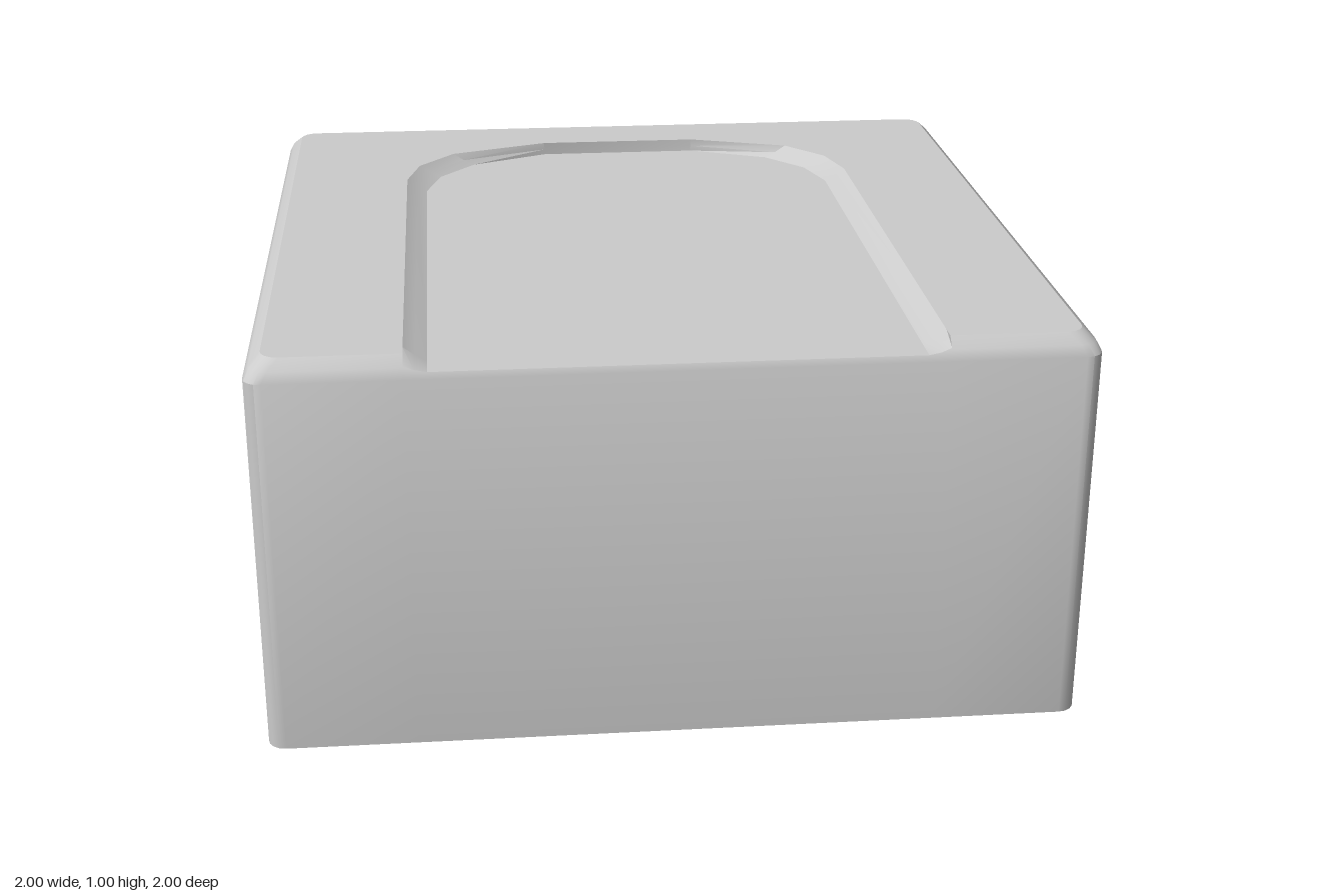
import * as THREE from 'three';
import { toCreasedNormals } from 'three/addons/utils/BufferGeometryUtils.js';

const FLOOR = 0.965;              // height of the recessed floor
const LEVELS = [0, 0.95, 0.975, 1]; // heights of the body's cross-sections
const RADIUS = 0.045;

// How far the outline is drawn in at height y (eased top edge)
function inset(y) {
  if (y <= 0.95) return 0;
  if (y <= 0.975) return (y - 0.95) / 0.025 * 0.013;
  return 0.013 + (y - 0.975) / 0.025 * 0.027;
}

// Surface through rows of points; it faces along (row step) x (column step)
function gridGeometry(rows, crease) {
  const pos = [];
  const tri = (a, b, c) => {
    const u = b.clone().sub(a), v = c.clone().sub(a);
    if (u.cross(v).length() > 1e-9) for (const p of [a, b, c]) pos.push(p.x, p.y, p.z);
  };
  for (let i = 0; i < rows.length - 1; i++) {
    for (let j = 0; j < rows[i].length - 1; j++) {
      const a = rows[i][j], b = rows[i + 1][j], c = rows[i + 1][j + 1], d = rows[i][j + 1];
      tri(a, b, c);
      tri(a, c, d);
    }
  }
  const g = new THREE.BufferGeometry();
  g.setAttribute('position', new THREE.Float32BufferAttribute(pos, 3));
  return toCreasedNormals(g, crease);
}

// Flat horizontal face through points, facing up or down
function flatFace(points, y, up = true) {
  const s = up ? -1 : 1;
  const g = new THREE.ShapeGeometry(new THREE.Shape(points.map(p => new THREE.Vector2(p.x, s * p.z))));
  return g.rotateX(s * Math.PI / 2).translate(0, y, 0);
}

// Continue a right-hand path with its mirror image in reverse
const mirrored = (list, flip) => [...list, ...list.slice().reverse().map(flip)];
const flipPoint = p => new THREE.Vector3(-p.x, p.y, p.z);
const flipRow = row => row.map(flipPoint);

export function createModel() {
  const group = new THREE.Group();
  const material = new THREE.MeshStandardMaterial({ color: 0xcccccc });
  const add = (name, geometry) => {
    const mesh = new THREE.Mesh(geometry, material);
    mesh.name = name;
    group.add(mesh);
  };
  const V = (x, y, z) => new THREE.Vector3(x, y, z);

  // Front opening: cross-section of the recess wall, from rim to floor
  const opening = [[0.635, 1], [0.635, 0.978], [0.61, 0.97], [0.58, FLOOR]]
    .map(([x, y]) => V(x, y, 1 - inset(y)));

  // One vertical strip of the body, stopping at height limit
  const column = (x, z, nx, nz, limit = 1) => LEVELS.map(level => {
    const y = Math.min(level, limit), d = inset(y);
    return V(x - nx * d, y, z - nz * d);
  });

  // Right half of the body's outline, from floor edge round to the back
  const right = opening.slice().reverse().map(p => column(p.x, 1, 0, 1, p.y));
  const steps = 4;
  for (const [sz, start] of [[1, Math.PI / 2], [-1, 0]]) {
    for (let k = 0; k <= steps; k++) {
      const a = start - k / steps * Math.PI / 2;
      const c = Math.cos(a), s = Math.sin(a), m = 1 - RADIUS;
      // Draw each side in by the same amount so the corner keeps its radius
      right.push(LEVELS.map(y => {
        const d = inset(y);
        return V((m - d) + RADIUS * c, y, sz * (m - d) + RADIUS * s);
      }));
    }
  }
  const outline = mirrored(right, flipRow);
  add('bodySides', gridGeometry([...outline, outline[0]], 0.6));
  add('bodyBottom', flatFace(outline.filter((r, i) => i !== 2 && i !== outline.length - 3).map(r => r[0]), 0, false));

  // Arch of the recess: z, half width at the rim, half width at the floor
  const arch = [
    [0.92, 0.635, 0.58], [-0.43, 0.635, 0.58], [-0.57, 0.6, 0.54],
    [-0.69, 0.5, 0.44], [-0.785, 0.225, 0.222],
  ];
  const wallRight = [opening, ...arch.map(([z, rim, floor]) =>
    [V(rim, 1, z), V(rim, 1, z), V((rim + floor) / 2, 0.98, z), V(floor, FLOOR, z)])];
  const wall = mirrored(wallRight, flipRow);
  add('recessWall', gridGeometry(wall, 0.5));
  add('recessFloor', flatFace(wall.map(r => r[3]), FLOOR));

  // Rim round the recess, open at the front
  const outer = outline.slice(3, -3).map(r => r[3]);
  const inner = wall.slice(1, -1).map(r => r[0]).reverse();
  add('topRim', flatFace([...outer, ...inner], 1));

  return group;
}
